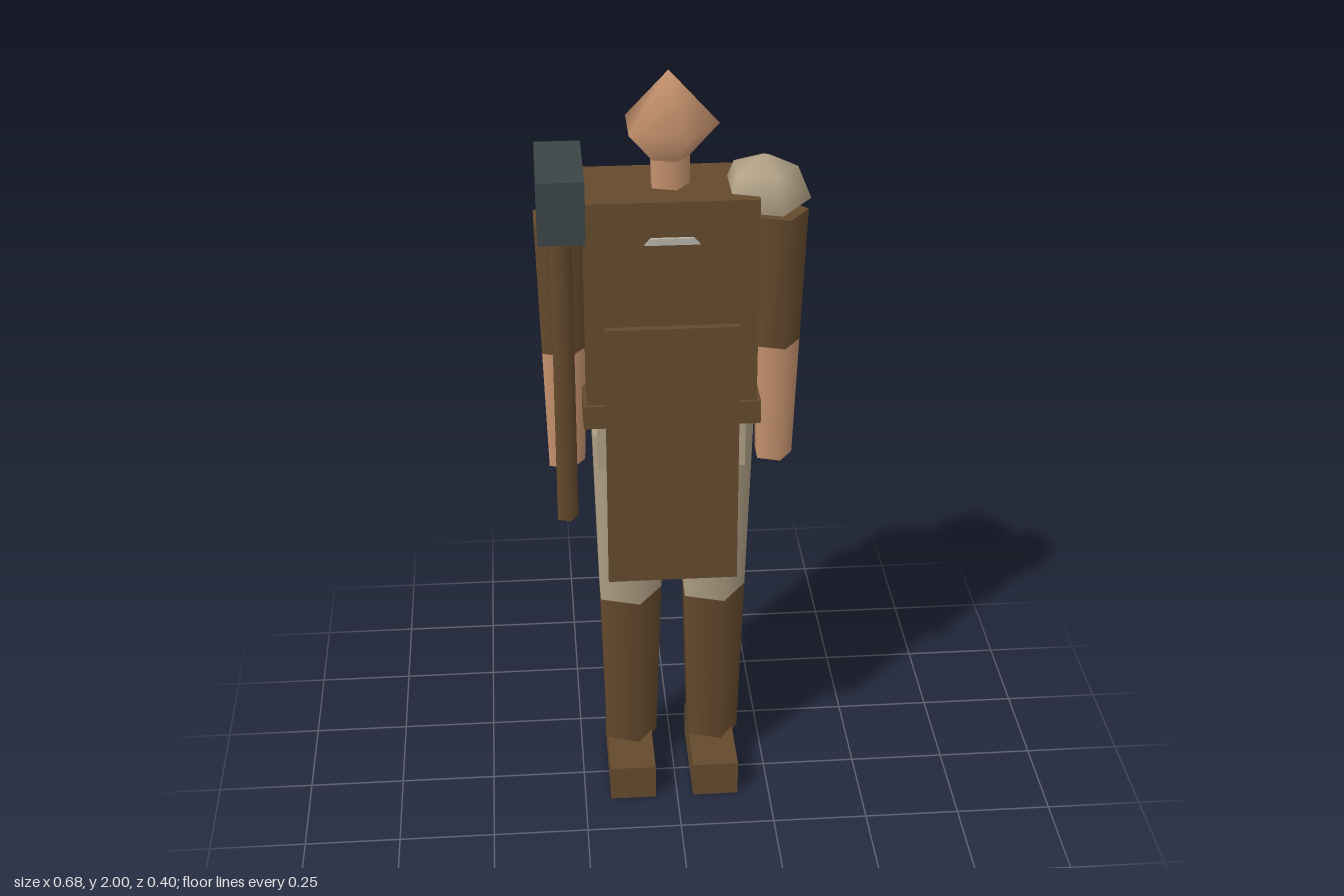
import * as THREE from 'three';

export function createModel() {
  const model = new THREE.Group();
  const material = (name, color, side = THREE.FrontSide) => {
    const m = new THREE.MeshStandardMaterial({ color, side });
    m.name = name;
    return m;
  };
  const leather = material('brown leather', 0x654a2d);
  const cloth = material('cream cloth', 0xb0a085, THREE.DoubleSide);
  const skin = material('skin', 0xc8946f);
  const iron = material('dark iron', 0x3c4546);
  const silver = material('pale metal', 0xb8b4a8);

  const CX = -0.008; // middle of the body
  const CZ = -0.067;

  const add = (name, geometry, mat, x = 0, y = 0, z = 0) => {
    const mesh = new THREE.Mesh(geometry, mat);
    mesh.name = name;
    mesh.position.set(x, y, z);
    model.add(mesh);
    return mesh;
  };
  // Box given by its limits
  const box = (name, mat, x0, x1, y0, y1, z0, z1) =>
    add(name, new THREE.BoxGeometry(x1 - x0, y1 - y0, z1 - z0), mat,
      (x0 + x1) / 2, (y0 + y1) / 2, (z0 + z1) / 2);
  // Five-sided tapered limb with one corner towards +x
  const limb = (name, mat, x, z, y0, y1, r0, r1) =>
    add(name, new THREE.CylinderGeometry(r1, r0, y1 - y0, 5, 1, false, Math.PI / 2), mat,
      x, (y0 + y1) / 2, z);

  // Head and neck
  const head = add('head', new THREE.SphereGeometry(0.123, 5, 2, Math.PI), skin, CX, 1.865, CZ);
  head.scale.y = 1.1;
  limb('neck', skin, CX, CZ, 1.7, 1.8, 0.052, 0.052);

  // Body
  box('torso', leather, -0.22, 0.203, 1.12, 1.715, -0.19, 0.055);
  box('belt', leather, -0.23, 0.213, 1.118, 1.18, -0.2, 0.065);
  box('hips', cloth, -0.195, 0.178, 0.985, 1.13, -0.175, 0.04);
  box('apron', leather, -0.175, 0.158, 0.672, 1.393, 0.058, 0.077);

  // Chest clasp
  const clasp = new THREE.Shape([
    new THREE.Vector2(-0.067, 0), new THREE.Vector2(0.067, 0),
    new THREE.Vector2(0.052, 0.017), new THREE.Vector2(-0.052, 0.017),
  ]);
  add('clasp', new THREE.ExtrudeGeometry(clasp, { depth: 0.009, bevelEnabled: false }),
    silver, CX, 1.608, 0.054);

  // Arms, legs and shoes
  for (const side of [1, -1]) {
    const label = side > 0 ? 'left' : 'right';
    const armX = CX + side * 0.268;
    limb(label + 'Sleeve', leather, armX, CZ, 1.285, 1.637, 0.063, 0.076);
    limb(label + 'Forearm', skin, armX, CZ, 0.96, 1.285, 0.051, 0.063);

    const legX = CX + side * 0.112;
    limb(label + 'Thigh', cloth, legX, CZ, 0.56, 1.063, 0.091, 0.107);
    limb(label + 'Boot', leather, legX, CZ, 0.09, 0.56, 0.076, 0.091);
    box(label + 'Shoe', leather, legX - 0.061, legX + 0.061, 0, 0.1, -0.165, 0.122);
  }

  // Open dome over the left shoulder
  add('shoulderPad',
    new THREE.SphereGeometry(0.118, 5, 2, Math.PI, Math.PI * 2, 0, Math.PI / 2),
    cloth, 0.22, 1.675, -0.045);

  // Hammer held upright at the right side
  limb('hammerHandle', leather, -0.278, 0.067, 0.87, 1.7, 0.029, 0.029);
  box('hammerHead', iron, -0.331, -0.22, 1.675, 1.83, -0.067, 0.2);

  return model;
}
